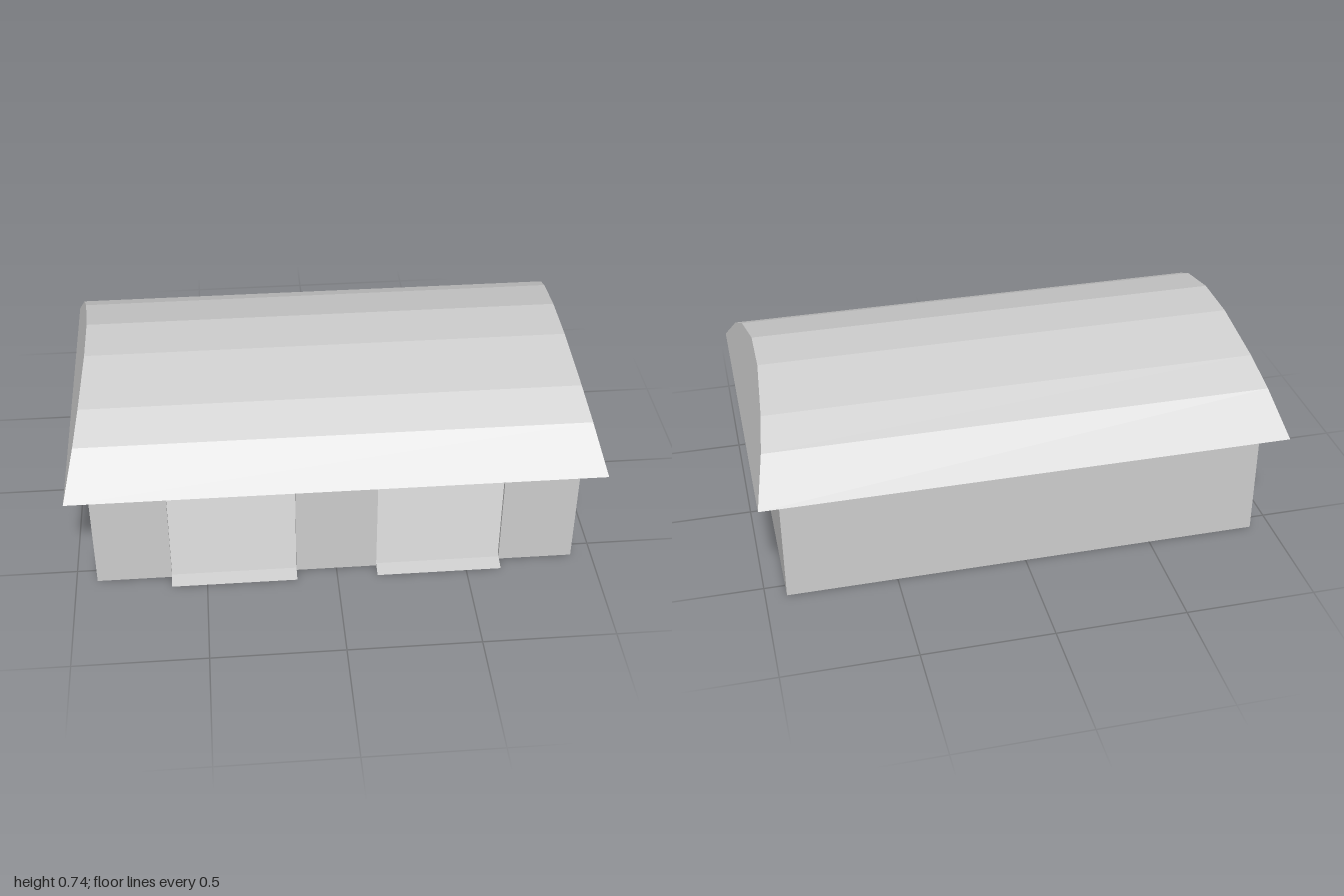
import * as THREE from 'three';

const WALL_X = 0.92, WALL_Z = 0.56, WALL_H = 0.465, T = 0.015;
const DOOR_IN = 0.155, DOOR_OUT = 0.635;
const FLOOR_Y = 0.012;

export function createModel() {
  const group = new THREE.Group();
  const material = new THREE.MeshStandardMaterial({ color: 0xcccccc, flatShading: true });

  const add = (name, geometry) => {
    const mesh = new THREE.Mesh(geometry, material);
    mesh.name = name;
    group.add(mesh);
    return mesh;
  };

  // Box given by its limits on each axis
  const block = (name, x0, x1, y0, y1, z0, z1) =>
    add(name, new THREE.BoxGeometry(x1 - x0, y1 - y0, z1 - z0))
      .position.set((x0 + x1) / 2, (y0 + y1) / 2, (z0 + z1) / 2);

  // Outline of [z, y] points swept along x
  const prism = (points, x0, x1) => {
    const shape = new THREE.Shape(points.map(([z, y]) => new THREE.Vector2(-z, y)));
    return new THREE.ExtrudeGeometry(shape, { depth: x1 - x0, bevelEnabled: false })
      .rotateY(Math.PI / 2).translate(x0, 0, 0);
  };

  // Faceted barrel roof whose gable ends lean inwards
  const half = [[0.655, WALL_H], [0.495, 0.6], [0.355, 0.67], [0.107, 0.738]];
  const roof = prism([...half, ...half.map(([z, y]) => [-z, y]).reverse()], -1, 1);
  const pos = roof.attributes.position;
  for (let i = 0; i < pos.count; i++) {
    const rise = (pos.getY(i) - WALL_H) / (0.738 - WALL_H);
    pos.setX(i, pos.getX(i) * (1 - 0.077 * rise));
  }
  roof.computeVertexNormals();
  add('roof', roof);

  // Thin walls around a slightly raised floor
  block('backWall', -WALL_X, WALL_X, 0, WALL_H, -WALL_Z, -WALL_Z + T);
  block('frontMiddlePier', -DOOR_IN, DOOR_IN, 0, WALL_H, WALL_Z - T, WALL_Z);
  block('floor', -WALL_X + T, WALL_X - T, FLOOR_Y - 0.002, FLOOR_Y, -WALL_Z + T, WALL_Z - T);

  for (const [side, s] of [['left', 1], ['right', -1]]) {
    const span = (a, b) => (s > 0 ? [a, b] : [-b, -a]);
    block(side + 'Wall', ...span(WALL_X - T, WALL_X), 0, WALL_H, -WALL_Z + T, WALL_Z - T);
    block(side + 'FrontPier', ...span(DOOR_OUT, WALL_X), 0, WALL_H, WALL_Z - T, WALL_Z);

    // Doorway: sloped lintel above, short ramp below
    const door = span(DOOR_IN, DOOR_OUT);
    add(side + 'DoorLintel', prism(
      [[WALL_Z, WALL_H], [WALL_Z - T, WALL_H], [WALL_Z - T, 0.445]], ...door));
    add(side + 'DoorRamp', prism(
      [[0.615, 0], [WALL_Z, FLOOR_Y], [WALL_Z - T, FLOOR_Y], [WALL_Z - T, 0]], ...door));
  }
  return group;
}
